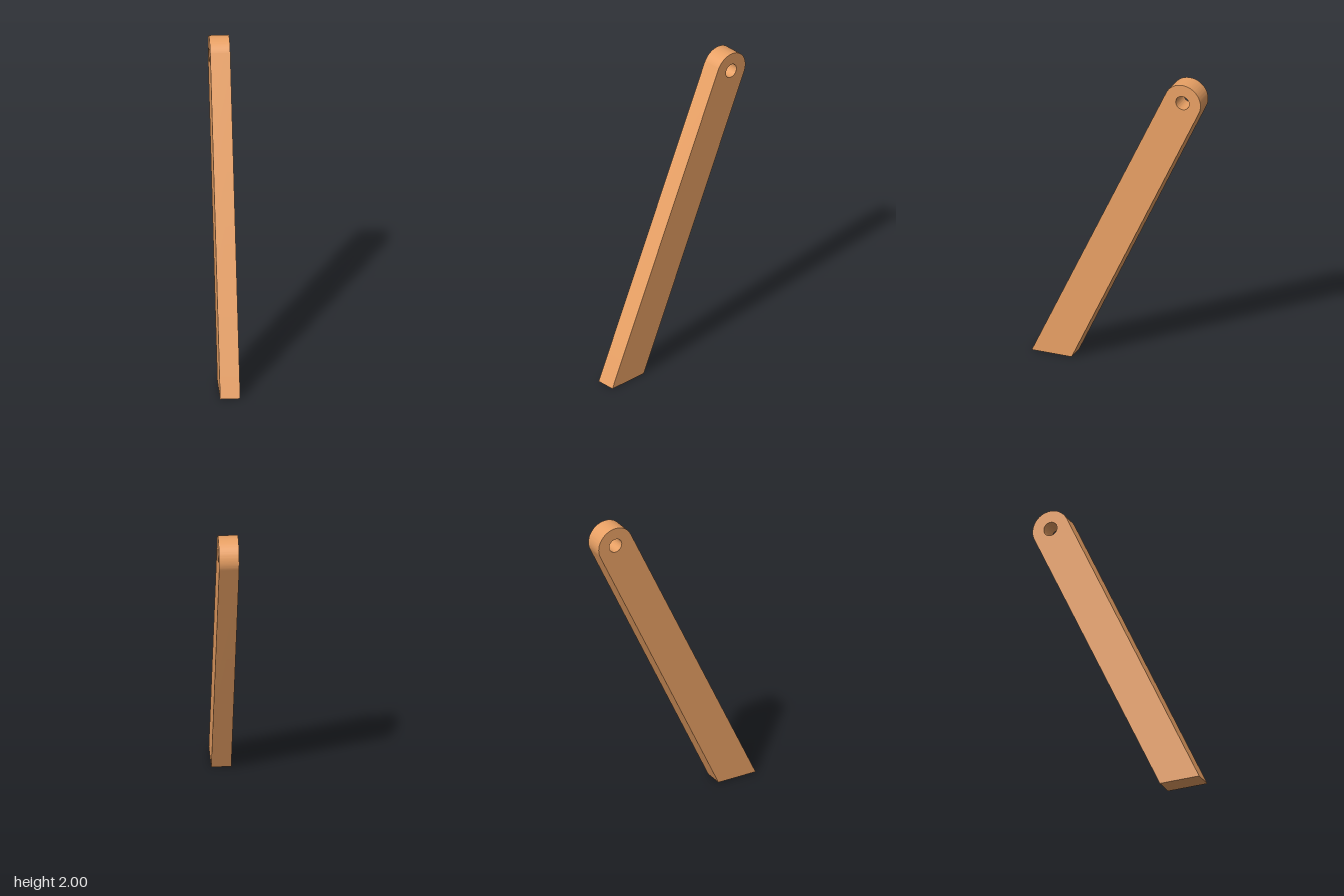
import * as THREE from 'three';
import { toCreasedNormals } from 'three/addons/utils/BufferGeometryUtils.js';

export function createModel() {
  const group = new THREE.Group();
  group.name = 'slantedLeg';

  const tilt = THREE.MathUtils.degToRad(25);
  const radius = 0.121, holeRadius = 0.045, thickness = 0.124;
  const cu = 0.444, cv = 2 - radius; // pivot centre in the side profile
  const footMid = cu - cv * Math.tan(tilt);
  const footHalf = radius / Math.cos(tilt);

  // Side profile: level-cut foot, tangent sides, rounded top
  const profile = new THREE.Shape();
  profile.moveTo(footMid - footHalf, 0);
  profile.lineTo(footMid + footHalf, 0);
  profile.absarc(cu, cv, radius, -tilt, Math.PI - tilt, false);
  profile.closePath();

  // Pivot hole through the rounded end
  const hole = new THREE.Path();
  hole.absarc(cu, cv, holeRadius, 0, Math.PI * 2, true);
  profile.holes.push(hole);

  const extruded = new THREE.ExtrudeGeometry(profile, {
    depth: thickness, bevelEnabled: false, curveSegments: 40,
  });
  extruded.translate(0, 0, -thickness / 2);
  extruded.rotateY(Math.PI / 2); // profile x runs towards the back

  const leg = new THREE.Mesh(
    toCreasedNormals(extruded, Math.PI / 6),
    new THREE.MeshStandardMaterial({ color: 0xe8a064 }),
  );
  leg.name = 'leg';
  group.add(leg);
  return group;
}
